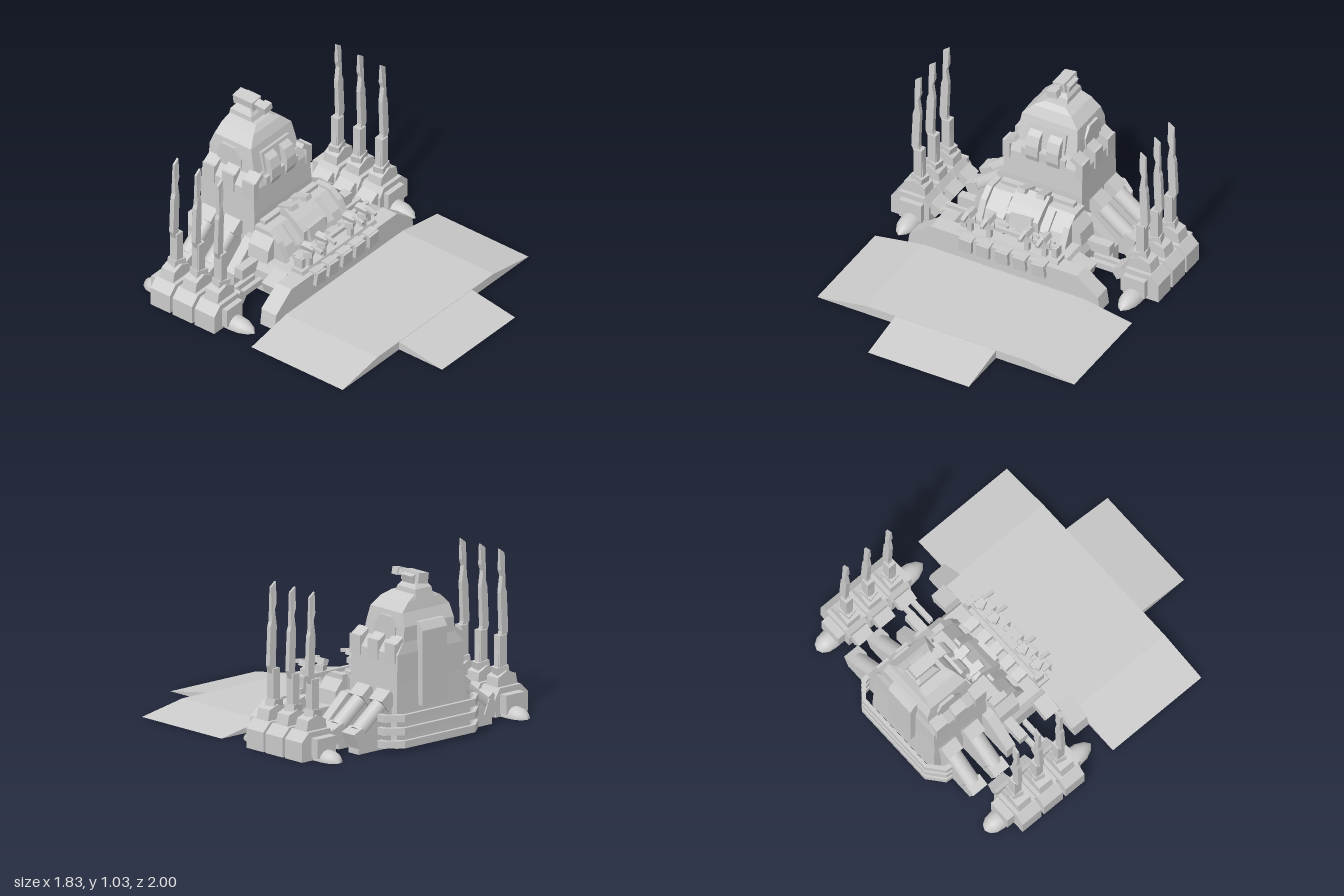
import * as THREE from 'three';

const flat = new THREE.MeshStandardMaterial({ color: 0xcccccc, flatShading: true, side: THREE.DoubleSide });
const smooth = new THREE.MeshStandardMaterial({ color: 0xcccccc, side: THREE.DoubleSide });

function add(parent, name, geo, mat = flat) {
  const m = new THREE.Mesh(geo, mat);
  m.name = name;
  parent.add(m);
  return m;
}
// plain box by centre and size, optionally tilted
function box(parent, name, [x, y, z], [w, h, d], rot = [0, 0, 0]) {
  const m = add(parent, name, new THREE.BoxGeometry(w, h, d));
  m.position.set(x, y, z);
  m.rotation.set(...rot);
  return m;
}
const toShape = pts => new THREE.Shape(pts.map(p => new THREE.Vector2(...p)));
const mirrorX = pts => [...pts, ...pts.map(([x, y]) => [-x, y]).reverse()];
// (x, y) outline swept from z0 to z1
function sweepZ(parent, name, pts, z0, z1) {
  const g = new THREE.ExtrudeGeometry(toShape(pts), { depth: z1 - z0, bevelEnabled: false });
  return add(parent, name, g.translate(0, 0, z0));
}
// (z, y) outline swept across a width centred on x
function sweepX(parent, name, pts, x, width) {
  const g = new THREE.ExtrudeGeometry(toShape(pts), { depth: width, bevelEnabled: false });
  return add(parent, name, g.translate(0, 0, -width / 2).rotateY(-Math.PI / 2).translate(x, 0, 0));
}
// stack of rectangles [y, x0, x1, z0, z1] joined into a faceted block
function stack(parent, name, rows) {
  const pos = [], idx = [];
  for (const [y, x0, x1, z0, z1] of rows) pos.push(x0, y, z1, x1, y, z1, x1, y, z0, x0, y, z0);
  for (let r = 0; r < rows.length - 1; r++)
    for (let i = 0; i < 4; i++) {
      const a = r * 4 + i, b = r * 4 + (i + 1) % 4;
      idx.push(a, b, b + 4, a, b + 4, a + 4);
    }
  const t = (rows.length - 1) * 4;
  idx.push(0, 2, 1, 0, 3, 2, t, t + 1, t + 2, t, t + 2, t + 3);
  const g = new THREE.BufferGeometry();
  g.setAttribute('position', new THREE.Float32BufferAttribute(pos, 3));
  g.setIndex(idx);
  const flatGeo = g.toNonIndexed();
  flatGeo.computeVertexNormals();
  return add(parent, name, flatGeo);
}
// leave a part open where it meets the ground
function hollow(mesh) {
  const src = mesh.geometry.attributes.position.array, kept = [];
  for (let i = 0; i < src.length; i += 9)
    if (Math.max(src[i + 1], src[i + 4], src[i + 7]) > 1e-4) kept.push(...src.slice(i, i + 9));
  mesh.geometry = new THREE.BufferGeometry();
  mesh.geometry.setAttribute('position', new THREE.Float32BufferAttribute(kept, 3));
  mesh.geometry.computeVertexNormals();
}

function makePlatform() {
  const g = new THREE.Group();
  g.name = 'platform';
  sweepZ(g, 'deck', mirrorX([[0.88, 0], [0.55, 0.057]]), -0.03, 0.67);
  sweepX(g, 'ramp', [[0.67, 0], [1, 0], [0.67, 0.055]], 0, 0.69);
  return g;
}

function makeTurret(x) {
  const g = new THREE.Group();
  g.name = 'smallTurret';
  box(g, 'turretPost', [0, 0.27, -0.09], [0.03, 0.14, 0.035]);
  box(g, 'turretCollar', [0, 0.32, -0.09], [0.06, 0.035, 0.055], [0, 0.4, 0]);
  box(g, 'turretHead', [0, 0.36, -0.09], [0.04, 0.035, 0.09], [0, 0, 0.3]);
  box(g, 'turretBarrel', [0, 0.368, -0.03], [0.022, 0.022, 0.08], [0.2, 0, 0]);
  g.position.x = x;
  return g;
}

function makeFrontWall() {
  const g = new THREE.Group();
  g.name = 'frontWall';
  hollow(sweepZ(g, 'wall', mirrorX([[0.66, 0], [0.645, 0.1], [0.5, 0.21]]), -0.14, -0.03));
  sweepX(g, 'parapet', [[-0.15, 0.2], [-0.06, 0.2], [-0.07, 0.235], [-0.15, 0.235]], 0, 0.7);
  box(g, 'rail', [0, 0.29, -0.12], [0.66, 0.025, 0.025]);
  [-0.25, -0.13, 0, 0.12, 0.25].forEach((x, i) => {
    const tilt = (i - 2) * 0.035;
    box(g, 'hangingPlate', [x, 0.172, -0.014], [0.085, 0.09, 0.025], [0.1, 0, tilt]);
    box(g, 'plateCap', [x, 0.21, -0.045], [0.085, 0.02, 0.065], [0, 0, tilt]);
    box(g, 'wallTooth', [x * 0.85, 0.225, -0.19], [0.065, 0.04, 0.08], [-0.2, 0, 0]);
  });
  for (const x of [-0.26, -0.13, 0.13, 0.25]) g.add(makeTurret(x));
  for (const s of [-1, 1]) {
    box(g, 'railPost', [s * 0.31, 0.25, -0.12], [0.035, 0.1, 0.06]);
    box(g, 'wallShoulder', [s * 0.45, 0.165, -0.19], [0.13, 0.07, 0.1], [0, 0, s * -0.3]);
    box(g, 'wallEndBlock', [s * 0.57, 0.112, -0.1], [0.13, 0.05, 0.1], [0, 0, s * -0.62]);
  }
  return g;
}

function makeBunker() {
  const g = new THREE.Group();
  g.name = 'bunker';
  hollow(stack(g, 'bunkerBase', [[0, -0.39, 0.39, -0.46, -0.13], [0.14, -0.39, 0.39, -0.46, -0.14], [0.2, -0.36, 0.36, -0.46, -0.14]]));
  stack(g, 'bunkerBody', [[0.19, -0.3, 0.3, -0.47, -0.25], [0.27, -0.3, 0.3, -0.47, -0.28], [0.36, -0.28, 0.28, -0.46, -0.38]]);
  // angled ribs and side wedges
  for (const s of [-1, 1]) {
    sweepX(g, 'bunkerRib', [[-0.23, 0.2], [-0.29, 0.32], [-0.36, 0.375], [-0.47, 0.375], [-0.47, 0.2]], s * 0.285, 0.04);
    sweepZ(g, 'bunkerWedge', [[s * 0.3, 0.19], [s * 0.37, 0.19], [s * 0.36, 0.28], [s * 0.3, 0.35]], -0.47, -0.32);
    box(g, 'innerRib', [s * 0.15, 0.3, -0.31], [0.05, 0.03, 0.15], [0.8, 0, 0]);
    box(g, 'hoodPad', [s * 0.06, 0.405, -0.41], [0.055, 0.03, 0.12], [-0.35, s * 0.08, 0]);
    box(g, 'sideBar', [s * 0.44, 0.16, -0.42], [0.16, 0.07, 0.06]);
  }
  // armoured hood in the middle
  sweepX(g, 'hood', [[-0.25, 0.24], [-0.25, 0.31], [-0.31, 0.36], [-0.4, 0.415], [-0.47, 0.37], [-0.47, 0.22], [-0.28, 0.22]], 0, 0.22);
  box(g, 'hoodVisor', [0, 0.285, -0.245], [0.15, 0.085, 0.03], [-0.2, 0, 0.05]);
  box(g, 'hoodBack', [0, 0.365, -0.455], [0.5, 0.04, 0.04]);
  return g;
}

function makeTower() {
  const g = new THREE.Group();
  g.name = 'tower';
  hollow(stack(g, 'lowerBody', [[0, -0.28, 0.28, -0.92, -0.5], [0.4, -0.27, 0.27, -0.91, -0.5], [0.57, -0.265, 0.265, -0.91, -0.51], [0.64, -0.21, 0.21, -0.9, -0.54]]));
  stack(g, 'upperBody', [[0.6, -0.21, 0.21, -0.9, -0.54], [0.73, -0.2, 0.2, -0.9, -0.57], [0.81, -0.19, 0.19, -0.87, -0.59], [0.87, -0.13, 0.13, -0.86, -0.62], [0.9, -0.07, 0.07, -0.85, -0.65]]);
  sweepX(g, 'backPanel', [[-0.88, 0.24], [-0.95, 0.24], [-0.95, 0.7], [-0.92, 0.75], [-0.86, 0.75]], 0, 0.2);
  // chest armour: a brow, a sill and two bulging plates
  box(g, 'brow', [0, 0.7, -0.565], [0.26, 0.13, 0.04], [-0.2, 0, 0]);
  box(g, 'sill', [0, 0.59, -0.525], [0.3, 0.06, 0.04]);
  for (const s of [-1, 1]) {
    sweepX(g, 'chestPlate', [[-0.56, 0.55], [-0.505, 0.55], [-0.49, 0.59], [-0.492, 0.66], [-0.515, 0.72], [-0.56, 0.75], [-0.62, 0.75]], s * 0.07, 0.085);
    for (const z of [-0.545, -0.7, -0.85]) {
      box(g, 'shoulderPad', [s * 0.25, 0.575, z], [0.05, 0.12, 0.09]);
      box(g, 'shoulderCap', [s * 0.225, 0.64, z], [0.08, 0.03, 0.09], [0, 0, s * -0.6]);
    }
    sweepX(g, 'sideArmour', [[-0.65, 0.6], [-0.65, 0.72], [-0.7, 0.78], [-0.8, 0.78], [-0.83, 0.72], [-0.83, 0.6]], s * 0.195, 0.035);
    box(g, 'upperFin', [s * 0.14, 0.83, -0.74], [0.09, 0.04, 0.11], [0, 0, s * -0.75]);
  }
  // gun on the crown
  stack(g, 'gunNeck', [[0.87, -0.07, 0.07, -0.86, -0.67], [0.93, -0.065, 0.065, -0.85, -0.69], [0.97, -0.035, 0.035, -0.82, -0.72]]);
  box(g, 'gunHousing', [0, 0.99, -0.775], [0.08, 0.065, 0.15], [0, 0, 0.15]);
  box(g, 'gunSide', [0.045, 0.985, -0.77], [0.03, 0.05, 0.1], [0, 0, -0.3]);
  box(g, 'gunBarrel', [0, 0.995, -0.66], [0.05, 0.035, 0.1], [0, 0, 0.3]);
  box(g, 'gunMuzzle', [0, 0.995, -0.635], [0.07, 0.045, 0.05], [0, 0, 0.2]);
  return g;
}

// three thin bands bent around the back of the tower
function makeRearRails() {
  const g = new THREE.Group();
  g.name = 'rearRails';
  const outer = mirrorX([[0.39, 0.87], [0.385, 0.915], [0.285, 0.998]]);
  const inner = mirrorX([[0.36, 0.87], [0.355, 0.905], [0.275, 0.975]]).reverse();
  for (const y of [0.02, 0.1, 0.18]) {
    const geo = new THREE.ExtrudeGeometry(toShape([...outer, ...inner]), { depth: 0.045, bevelEnabled: false });
    add(g, 'rearRail', geo.rotateX(-Math.PI / 2).translate(0, y, 0));
  }
  return g;
}

// sloping supports between the tower and the side batteries (left side)
function makeButtresses() {
  const g = new THREE.Group();
  g.name = 'buttresses';
  for (const z of [-0.82, -0.645]) {
    const pipe = add(g, 'buttressPipe', new THREE.CylinderGeometry(0.05, 0.05, 0.3, 12), smooth);
    pipe.position.set(0.39, 0.215, z);
    pipe.rotation.z = 0.92;
    box(g, 'buttressTop', [0.3, 0.29, z], [0.09, 0.09, 0.115], [0, 0, -0.67]);
    box(g, 'buttressFoot', [0.53, 0.1, z], [0.08, 0.1, 0.11], [0, 0, -0.4]);
    hollow(sweepZ(g, 'buttressWeb', [[0.27, 0], [0.54, 0], [0.54, 0.09], [0.3, 0.28], [0.27, 0.28]], z - 0.045, z + 0.045));
  }
  hollow(sweepZ(g, 'frontButtress', [[0.26, 0], [0.5, 0], [0.5, 0.12], [0.32, 0.28], [0.26, 0.28]], -0.535, -0.47));
  for (const z of [-0.39, -0.33]) box(g, 'linkBar', [0.54, 0.1, z], [0.24, 0.04, 0.03]);
  return g;
}

// row of three spiked modules on a pod (left side)
function makeBattery() {
  const g = new THREE.Group();
  g.name = 'sideBattery';
  const spike = [[0.725, 0.24], [0.79, 0.24], [0.79, 0.45], [0.81, 0.5], [0.8, 0.74], [0.79, 0.77], [0.79, 0.98], [0.75, 1.01],
    [0.752, 0.88], [0.765, 0.84], [0.75, 0.74], [0.76, 0.5], [0.735, 0.4]];
  for (const z of [-0.36, -0.53, -0.7]) {
    hollow(sweepZ(g, 'moduleBase', [[0.655, 0], [0.915, 0], [0.915, 0.12], [0.86, 0.175], [0.69, 0.175], [0.655, 0.12]], z - 0.075, z + 0.075));
    sweepZ(g, 'moduleTop', [[0.69, 0.15], [0.86, 0.15], [0.84, 0.24], [0.77, 0.265], [0.7, 0.23]], z - 0.05, z + 0.05);
    box(g, 'moduleInnerPad', [0.635, 0.105, z], [0.08, 0.07, 0.12], [0, 0, 0.6]);
    box(g, 'spikeSocket', [0.76, 0.26, z], [0.085, 0.06, 0.07], [0, 0.2, 0.15]);
    const blade = sweepZ(g, 'spike', spike, -0.0275, 0.0275);
    // the blade thins in steps towards its tip
    const p = blade.geometry.attributes.position;
    for (let i = 0; i < p.count; i++) {
      const y = p.getY(i);
      p.setZ(i, p.getZ(i) * (y > 0.95 ? 0.25 : y > 0.6 ? 0.55 : 0.6));
    }
    blade.position.z = z;
    box(g, 'spikeSleeve', [0.762, 0.37, z], [0.055, 0.22, 0.055]);
  }
  sweepZ(g, 'batteryCore', [[0.69, 0.02], [0.84, 0.02], [0.84, 0.14], [0.69, 0.14]], -0.83, -0.25);
  // half-buried pod, pointed in front and round behind
  const profile = [[0, -0.94], [0.035, -0.925], [0.058, -0.89], [0.065, -0.84], [0.065, -0.24], [0.058, -0.18], [0.035, -0.13], [0, -0.1]];
  const pod = new THREE.LatheGeometry(profile.map(p => new THREE.Vector2(...p)), 12, Math.PI / 2, Math.PI);
  add(g, 'pod', pod.rotateX(Math.PI / 2).translate(0.76, 0, 0), smooth);
  return g;
}

export function createModel() {
  const model = new THREE.Group();
  model.name = 'fortress';
  model.add(makePlatform(), makeFrontWall(), makeBunker(), makeTower(), makeRearRails());
  for (const s of [1, -1]) {
    const side = new THREE.Group();
    side.name = s > 0 ? 'leftSide' : 'rightSide';
    side.add(makeButtresses(), makeBattery());
    side.scale.x = s;
    model.add(side);
  }
  return model;
}
